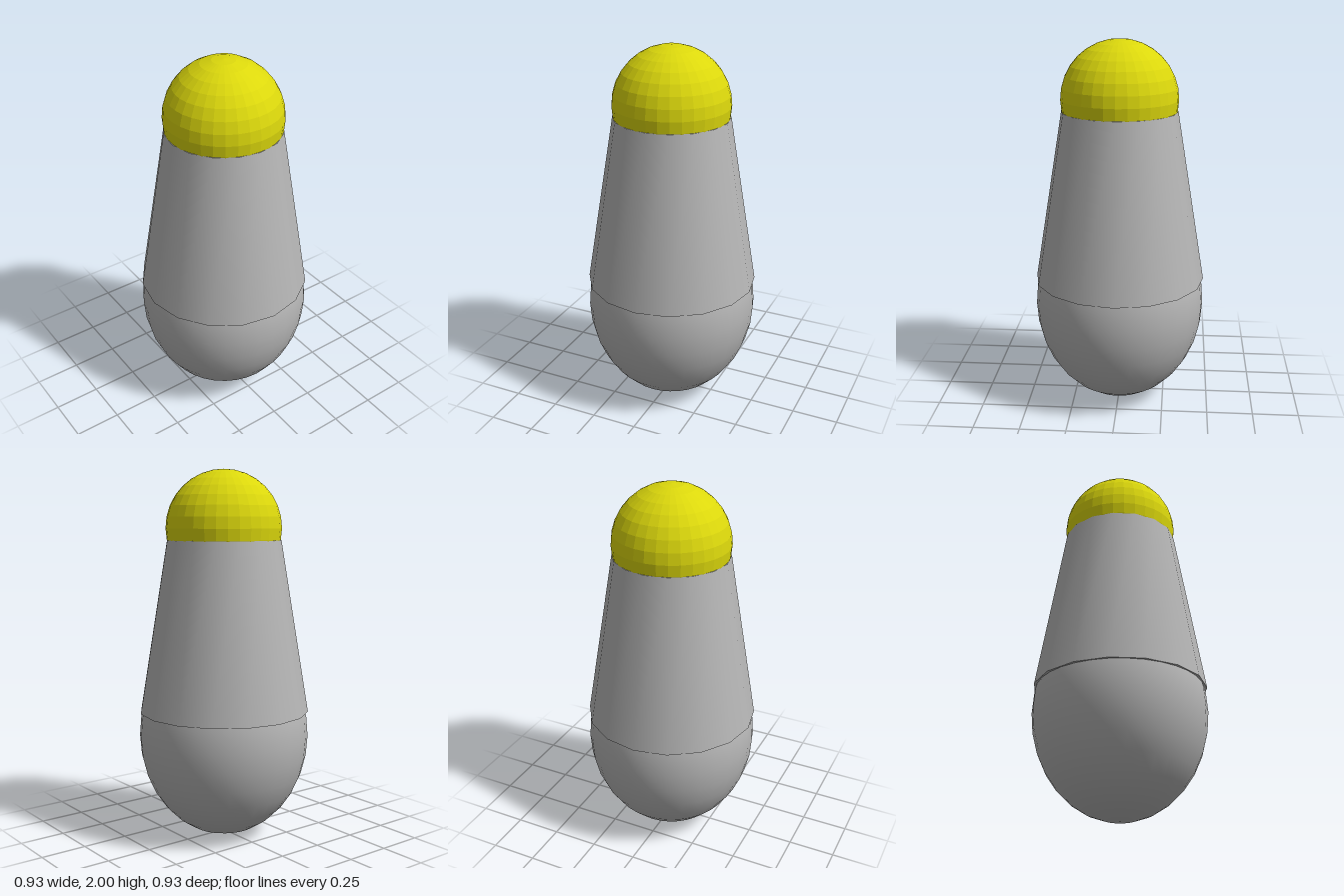
import * as THREE from 'three';

export function createModel() {
  const group = new THREE.Group();
  const grey = new THREE.MeshStandardMaterial({ color: 0xb6b6b6 });
  grey.name = 'grey';
  const yellow = new THREE.MeshStandardMaterial({ color: 0xdcd80c, flatShading: true });
  yellow.name = 'yellow';

  const add = (name, geometry, material, y) => {
    const mesh = new THREE.Mesh(geometry, material);
    mesh.name = name;
    mesh.position.y = y;
    group.add(mesh);
    return mesh;
  };

  // Smooth egg-shaped base, stretched upwards
  const base = add('base', new THREE.SphereGeometry(0.464, 32, 16), grey, 0.56);
  base.scale.y = 0.56 / 0.464;

  // Tapered sixteen-sided body, overhanging the base slightly
  const bottom = 0.695, top = 1.625;
  add('body', new THREE.CylinderGeometry(0.31, 0.464, top - bottom, 16), grey, (bottom + top) / 2);

  // Faceted dome sunk into the top of the body
  add('dome', new THREE.SphereGeometry(0.312, 32, 16), yellow, 1.688);

  return group;
}
